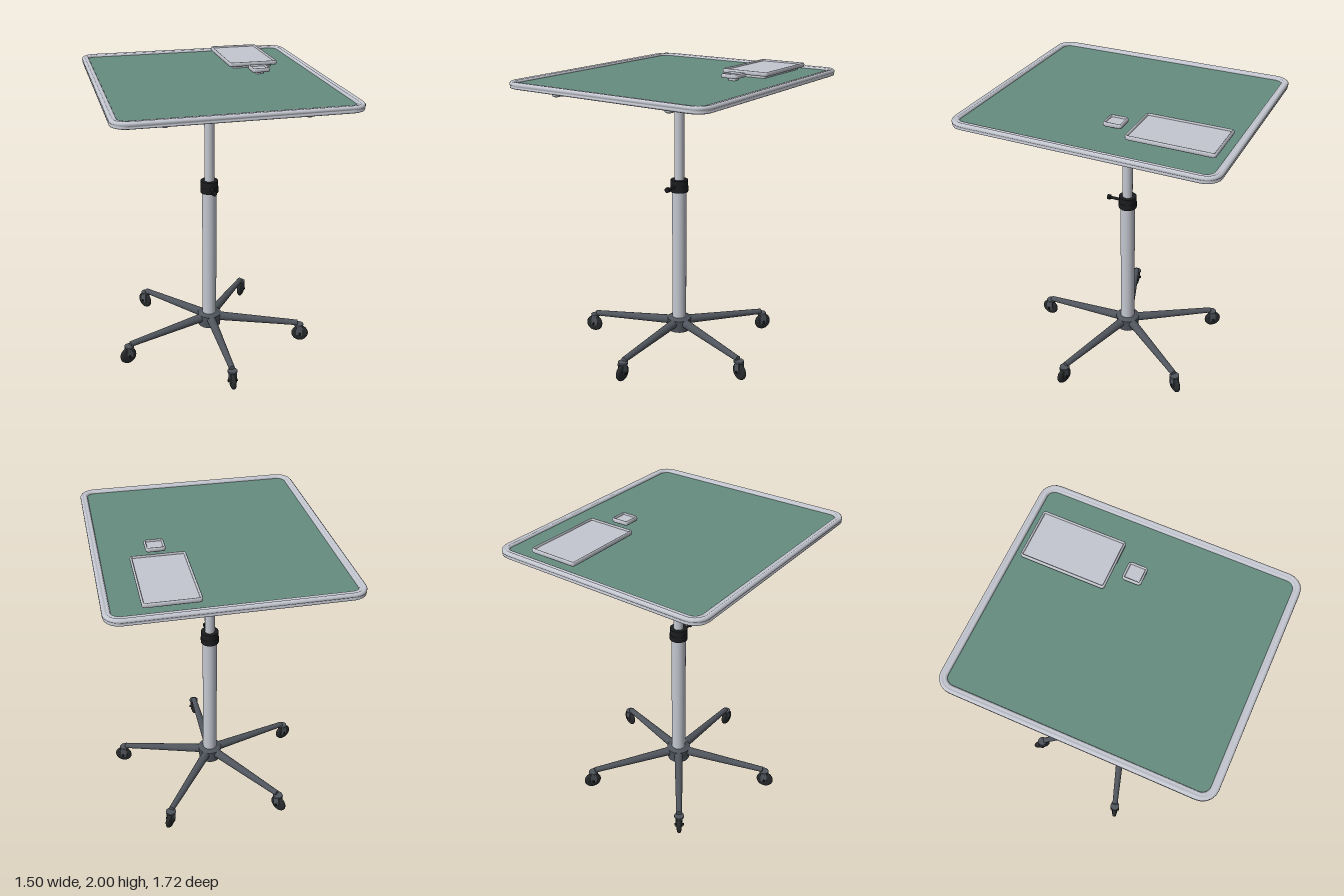
import * as THREE from 'three';

const mat = (name, color) => {
  const m = new THREE.MeshStandardMaterial({ color });
  m.name = name;
  return m;
};

// Points around a rounded rectangle in the xz plane
function ringPoints(hw, hd, r, seg = 5) {
  const pts = [];
  [[1, 1], [-1, 1], [-1, -1], [1, -1]].forEach(([sx, sz], q) => {
    for (let i = 0; i <= seg; i++) {
      const a = (q + i / seg) * Math.PI / 2;
      pts.push([sx * (hw - r) + Math.cos(a) * r, sz * (hd - r) + Math.sin(a) * r]);
    }
  });
  return pts;
}

// Sweep a closed profile of [inset, y] around a rounded rectangle
function frameGeometry(hw, hd, r, profile) {
  const pos = [], idx = [], n = ringPoints(hw, hd, r).length, m = profile.length;
  for (const [inset, y] of profile)
    for (const [x, z] of ringPoints(hw - inset, hd - inset, r - inset)) pos.push(x, y, z);
  for (let j = 0; j < m; j++) {
    for (let i = 0; i < n; i++) {
      const k = (i + 1) % n, jn = (j + 1) % m;
      const a = j * n + i, b = j * n + k, c = jn * n + k, d = jn * n + i;
      idx.push(a, d, b, b, d, c);
    }
  }
  const g = new THREE.BufferGeometry();
  g.setAttribute('position', new THREE.Float32BufferAttribute(pos, 3));
  g.setIndex(idx);
  g.computeVertexNormals();
  return g;
}

// Rounded slab between two heights, with optional rounded edges
function slabGeometry(hw, hd, r, y0, y1, bevel = 0) {
  const pts = ringPoints(hw - bevel, hd - bevel, r - bevel);
  const shape = new THREE.Shape(pts.map(([x, z]) => new THREE.Vector2(x, -z)));
  const g = new THREE.ExtrudeGeometry(shape, {
    depth: y1 - y0 - 2 * bevel, bevelEnabled: bevel > 0,
    bevelSize: bevel, bevelThickness: bevel, bevelSegments: 4,
  });
  return g.rotateX(-Math.PI / 2).translate(0, y0 + bevel, 0);
}

export function createModel() {
  const metal = mat('brushed metal', 0xc4c7d0);
  const green = mat('green mat', 0x668d7f);
  const dark = mat('dark grey', 0x50555d);
  const black = mat('black plastic', 0x1c1d1f);
  const rubber = mat('wheel rubber', 0x27292b);

  const model = new THREE.Group();
  const add = (name, geo, material, x = 0, y = 0, z = 0, parent = model) => {
    const mesh = new THREE.Mesh(geo, material);
    mesh.name = name;
    mesh.position.set(x, y, z);
    parent.add(mesh);
    return mesh;
  };
  const tube = (name, r0, r1, y0, y1, m, sides = 28) =>
    add(name, new THREE.CylinderGeometry(r1, r0, y1 - y0, sides), m, 0, (y0 + y1) / 2, 0);

  // Column
  tube('lowerPole', 0.05, 0.05, 0.18, 1.18, metal);
  tube('upperPole', 0.034, 0.034, 1.18, 1.85, metal);
  tube('poleCap', 0.055, 0.055, 1.835, 1.858, metal);

  // Height clamp with its screw knob
  tube('clampLower', 0.062, 0.062, 1.165, 1.205, black);
  tube('clampUpper', 0.06, 0.06, 1.205, 1.25, black);
  add('clampScrew', new THREE.CylinderGeometry(0.01, 0.01, 0.09, 12).rotateX(Math.PI / 2), black, 0, 1.207, 0.095);
  add('clampKnob', new THREE.CylinderGeometry(0.018, 0.018, 0.02, 14).rotateX(Math.PI / 2), black, 0, 1.207, 0.14);

  // Support frame under the top
  add('crossBar', slabGeometry(0.468, 0.05, 0.049, 1.856, 1.898, 0.02), metal);
  for (const s of [-1, 1])
    add('rail', slabGeometry(0.029, 0.748, 0.028, 1.883, 1.928, 0.02), metal, s * 0.43);

  // Table top
  add('topUnderside', slabGeometry(0.735, 0.845, 0.09, 1.925, 1.94), metal);
  add('topMat', slabGeometry(0.71, 0.82, 0.07, 1.94, 1.955), green);
  add('topRim', frameGeometry(0.752, 0.861, 0.1, [
    [0.012, 1.926], [0.003, 1.93], [0.001, 1.938], [0.007, 1.944], [0, 1.951], [0.001, 1.962],
    [0.01, 1.97], [0.02, 1.97], [0.027, 1.965], [0.034, 1.969], [0.044, 1.967], [0.049, 1.957],
    [0.048, 1.945], [0.03, 1.926],
  ]), metal);

  // Two shallow trays: foot, floor and raised lip
  const tray = (name, x, z, hw, hd) => {
    const g = new THREE.Group();
    g.name = name;
    g.position.set(x, 0, z);
    model.add(g);
    add('trayFoot', slabGeometry(hw - 0.035, hd - 0.035, 0.012, 1.953, 1.976), metal, 0, 0, 0, g);
    add('trayFloor', slabGeometry(hw - 0.006, hd - 0.006, 0.012, 1.974, 1.988), metal, 0, 0, 0, g);
    add('trayLip', frameGeometry(hw, hd, 0.02, [
      [0.003, 1.973], [0, 1.98], [0, 1.992], [0.004, 1.999], [0.009, 2.0], [0.013, 1.997], [0.015, 1.986], [0.012, 1.975],
    ]), metal, 0, 0, 0, g);
  };
  tray('largeTray', 0.363, -0.495, 0.17, 0.278);
  tray('smallTray', 0.363, -0.088, 0.062, 0.062);

  // Base hub
  tube('hub', 0.08, 0.085, 0.115, 0.205, dark);
  tube('hubCollar', 0.085, 0.06, 0.205, 0.217, dark);

  // Wheel cross-section, thicker towards the middle and rounded at the tread
  const wheelProfile = [[0, -0.018], [0.03, -0.018], [0.05, -0.014], [0.058, -0.008], [0.061, 0],
    [0.058, 0.008], [0.05, 0.014], [0.03, 0.018], [0, 0.018]].map(([r, w]) => new THREE.Vector2(r, w));

  // Five legs, each with a caster in line with it
  for (let i = 0; i < 5; i++) {
    const arm = new THREE.Group();
    arm.name = 'leg' + (i + 1);
    arm.rotation.y = i * Math.PI * 2 / 5;
    model.add(arm);
    const a = new THREE.Vector3(0, 0.178, 0.06), b = new THREE.Vector3(0, 0.146, 0.65);
    const beam = add('legBeam', new THREE.CylinderGeometry(0.02, 0.032, a.distanceTo(b), 14), dark, 0, 0, 0, arm);
    beam.position.copy(a).lerp(b, 0.5);
    beam.quaternion.setFromUnitVectors(new THREE.Vector3(0, 1, 0), b.clone().sub(a).normalize());
    add('casterPlate', new THREE.CylinderGeometry(0.034, 0.034, 0.012, 16), dark, 0, 0.131, 0.66, arm);
    add('wheel', new THREE.LatheGeometry(wheelProfile, 22).rotateZ(Math.PI / 2), rubber, 0, 0.061, 0.67, arm);
    add('axle', new THREE.CylinderGeometry(0.009, 0.009, 0.066, 10).rotateZ(Math.PI / 2), black, 0, 0.063, 0.67, arm);
    for (const s of [-1, 1])
      add('fork', new THREE.BoxGeometry(0.006, 0.078, 0.044), dark, s * 0.021, 0.091, 0.665, arm);
  }
  return model;
}
